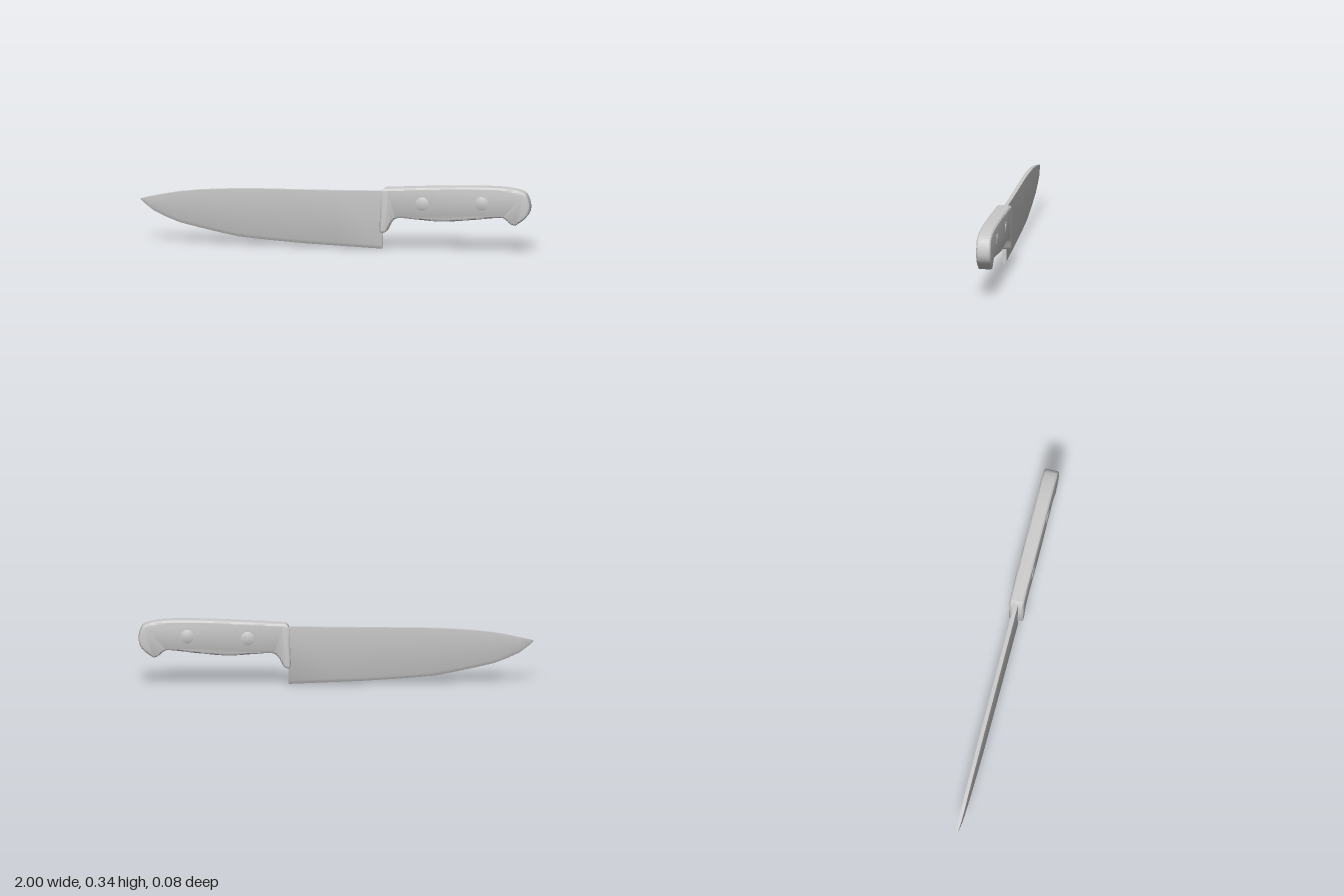
import * as THREE from 'three';
import { toCreasedNormals } from 'three/addons/utils/BufferGeometryUtils.js';

const material = new THREE.MeshStandardMaterial({ color: 0xcccccc });

function addMesh(group, name, geometry) {
  const mesh = new THREE.Mesh(geometry, material);
  mesh.name = name;
  group.add(mesh);
  return mesh;
}

// Blade: five-cornered cross-sections (spine, shoulders, cutting edge) from tip to heel
function bladeGeometry() {
  // x, spine y, edge y, half thickness
  const stations = [
    [-1.0, 0.222, 0.218, 0.001], [-0.98, 0.228, 0.198, 0.004], [-0.93, 0.239, 0.16, 0.008],
    [-0.87, 0.252, 0.132, 0.0085], [-0.8, 0.265, 0.105, 0.009], [-0.7, 0.277, 0.082, 0.0095],
    [-0.6, 0.284, 0.061, 0.01], [-0.5, 0.289, 0.042, 0.01], [-0.4, 0.292, 0.033, 0.01],
    [-0.3, 0.293, 0.026, 0.01], [-0.15, 0.294, 0.017, 0.01], [0, 0.296, 0.011, 0.01],
    [0.24, 0.301, 0.002, 0.01],
  ];
  const rings = stations.map(([x, top, edge, t]) => {
    const shoulder = edge + Math.min(0.02, (top - edge) * 0.4);
    return [[x, top, t], [x, shoulder, t], [x, edge, 0], [x, shoulder, -t], [x, top, -t]];
  });
  const pos = [];
  const tri = (a, b, c) => pos.push(...a, ...b, ...c);
  for (let i = 0; i < rings.length - 1; i++) {
    const a = rings[i], b = rings[i + 1];
    for (let j = 0; j < 5; j++) {
      const k = (j + 1) % 5;
      tri(a[j], a[k], b[k]);
      tri(a[j], b[k], b[j]);
    }
  }
  const tip = rings[0], heel = rings[rings.length - 1];
  for (let j = 1; j < 4; j++) {
    tri(tip[0], tip[j + 1], tip[j]);
    tri(heel[0], heel[j], heel[j + 1]);
  }
  const geometry = new THREE.BufferGeometry();
  geometry.setAttribute('position', new THREE.Float32BufferAttribute(pos, 3));
  return toCreasedNormals(geometry, 0.7);
}

// Handle: side outline extruded with rounded edges
function handleGeometry() {
  const v = (list) => list.map(([x, y]) => new THREE.Vector2(x, y));
  const shape = new THREE.Shape();
  shape.moveTo(0.229, 0.1);
  shape.lineTo(0.233, 0.2);
  shape.lineTo(0.238, 0.3);
  shape.lineTo(0.252, 0.317);
  // back and butt
  shape.splineThru(v([[0.4, 0.326], [0.6, 0.336], [0.75, 0.34], [0.87, 0.338], [0.96, 0.322],
    [0.99, 0.29], [1.0, 0.235], [0.98, 0.19], [0.925, 0.147]]));
  // belly with finger guard
  shape.splineThru(v([[0.9, 0.157], [0.875, 0.178], [0.84, 0.186], [0.7, 0.17], [0.55, 0.157],
    [0.42, 0.164], [0.325, 0.168], [0.292, 0.145], [0.266, 0.098]]));
  shape.lineTo(0.25, 0.088);
  shape.lineTo(0.237, 0.088);
  shape.closePath();

  const bevel = 0.011, half = 0.037;
  const geometry = new THREE.ExtrudeGeometry(shape, {
    depth: 2 * (half - bevel), bevelThickness: bevel, bevelSize: bevel,
    bevelOffset: -bevel, bevelSegments: 4, curveSegments: 36,
  });
  geometry.translate(0, 0, bevel - half);
  return toCreasedNormals(geometry, 0.8);
}

// Rivet: pin through the handle with slightly eased rims
function rivetGeometry() {
  const profile = [[0, -0.04], [0.031, -0.04], [0.035, -0.038], [0.035, 0.038], [0.031, 0.04], [0, 0.04]];
  const geometry = new THREE.LatheGeometry(profile.map(([r, y]) => new THREE.Vector2(r, y)), 32);
  geometry.rotateX(Math.PI / 2);
  return toCreasedNormals(geometry, 0.5);
}

export function createModel() {
  const group = new THREE.Group();
  group.name = 'kitchenKnife';
  addMesh(group, 'blade', bladeGeometry());
  addMesh(group, 'handle', handleGeometry());
  const rivet = rivetGeometry();
  addMesh(group, 'frontRivet', rivet).position.set(0.45, 0.246, 0);
  addMesh(group, 'rearRivet', rivet).position.set(0.755, 0.258, 0);
  return group;
}
